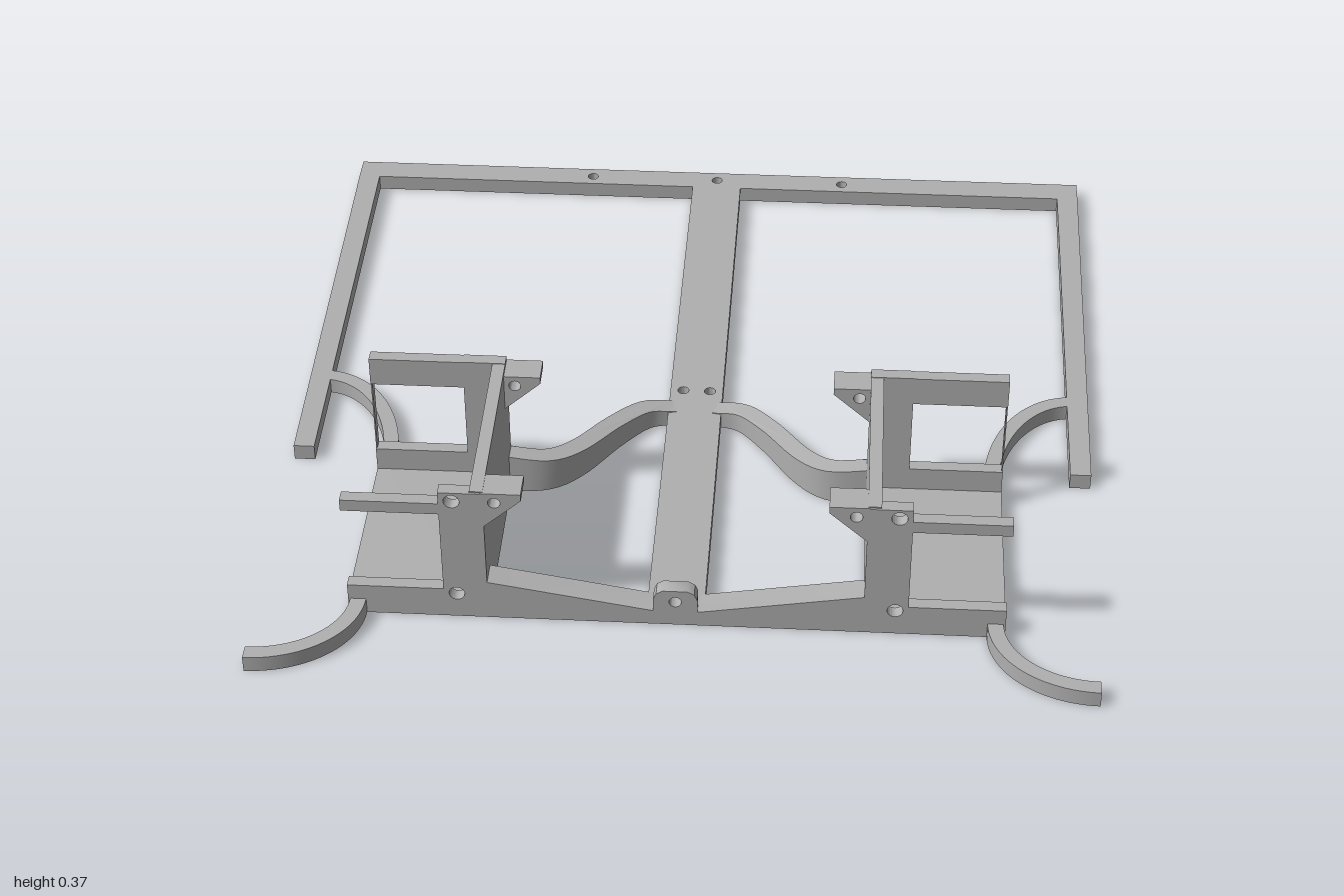
import * as THREE from 'three';
import { toCreasedNormals } from 'three/addons/utils/BufferGeometryUtils.js';

const V = (x, y) => new THREE.Vector2(x, y);

function makeShape(points, holes = []) {
  const shape = new THREE.Shape(points.map(p => V(p[0], p[1])));
  for (const [x, y, r] of holes) {
    const h = new THREE.Path();
    h.absarc(x, y, r, 0, Math.PI * 2, true);
    shape.holes.push(h);
  }
  return shape;
}

// Upright plate: outline in x/y, from z0 to z1
function upright(points, holes, z0, z1) {
  return new THREE.ExtrudeGeometry(makeShape(points, holes),
    { depth: z1 - z0, bevelEnabled: false, curveSegments: 10 }).translate(0, 0, z0);
}

// Flat plate: outline in x/z, from y = 0 up to h
function flat(points, holes, h) {
  return new THREE.ExtrudeGeometry(makeShape(points, holes),
    { depth: h, bevelEnabled: false, curveSegments: 10 }).rotateX(Math.PI / 2).translate(0, h, 0);
}

// Band of constant width following a curve on the ground
function band(curve, width, h) {
  const n = 24, a = [], b = [];
  for (let i = 0; i <= n; i++) {
    const p = curve.getPoint(i / n), t = curve.getTangent(i / n);
    a.push([p.x - t.y * width / 2, p.y + t.x * width / 2]);
    b.unshift([p.x + t.y * width / 2, p.y - t.x * width / 2]);
  }
  return flat([...a, ...b], [], h);
}

const box = (x0, x1, y0, y1, z0, z1) => new THREE.BoxGeometry(x1 - x0, y1 - y0, z1 - z0)
  .translate((x0 + x1) / 2, (y0 + y1) / 2, (z0 + z1) / 2);

// Mirror across x = 0, keeping the faces outward
function mirrored(geo) {
  const g = geo.index ? geo.toNonIndexed() : geo.clone();
  g.scale(-1, 1, 1);
  const p = g.attributes.position;
  const a = new THREE.Vector3(), b = new THREE.Vector3();
  for (let i = 0; i < p.count; i += 3) {
    a.fromBufferAttribute(p, i + 1);
    b.fromBufferAttribute(p, i + 2);
    p.setXYZ(i + 1, b.x, b.y, b.z);
    p.setXYZ(i + 2, a.x, a.y, a.z);
  }
  return g;
}

export function createModel() {
  const group = new THREE.Group();
  const grey = new THREE.MeshStandardMaterial({ color: 0xb0b0b0 });
  grey.name = 'plain grey';

  const add = (name, geo) => {
    const g = geo.index ? geo.toNonIndexed() : geo;
    g.computeVertexNormals();
    const mesh = new THREE.Mesh(toCreasedNormals(g, 0.6), grey);
    mesh.name = name;
    group.add(mesh);
  };
  const pair = (name, geo) => {
    add(name + 'Left', geo);
    add(name + 'Right', mirrored(geo));
  };

  // Flat frame: back bar, spine and side bars
  const T = 0.04, R = 0.014;
  add('backBar', flat([[-0.98, -1], [0.98, -1], [0.98, -0.93], [-0.98, -0.93]],
    [[-0.34, -0.965, R], [0, -0.965, R], [0.34, -0.965, R]], T));
  add('spine', flat([[-0.065, -0.93], [0.065, -0.93], [0.065, 0.79], [-0.065, 0.79]],
    [[-0.033, -0.025, R], [0.033, -0.025, R]], T));
  pair('sideBar', flat([[0.925, -0.93], [0.98, -0.93], [0.962, 0.25], [0.912, 0.25]], [], T));

  // Curved arms from the trays to the side bars and to the front corners
  pair('outerArm', band(new THREE.EllipseCurve(0.93, 0.3, 0.208, 0.335, Math.PI, Math.PI * 1.5), 0.036, T));
  pair('frontArm', band(new THREE.EllipseCurve(0.95, 0.79, 0.228, 0.192, Math.PI, Math.PI / 2, true), 0.036, T));

  // S-shaped inner arms, rising from the spine to the trays
  const sCurve = new THREE.SplineCurve([V(0.05, 0.042), V(0.12, 0.062), V(0.19, 0.14),
    V(0.27, 0.255), V(0.34, 0.31), V(0.44, 0.32)]);
  const inner = band(sCurve, 0.044, T);
  const ip = inner.attributes.position;
  for (let i = 0; i < ip.count; i++) {
    if (ip.getY(i) < 0.02) continue;
    const t = THREE.MathUtils.clamp((ip.getX(i) - 0.06) / 0.37, 0, 1);
    ip.setY(i, 0.042 + 0.063 * t);
  }
  pair('innerArm', inner);

  // Tapered front crossbar with a drilled centre lug
  pair('crossbar', upright([[0, 0], [0.43, 0], [0.43, 0.105], [0.055, 0.04], [0, 0.04]], [], 0.73, 0.79));
  add('centreLug', upright([[-0.05, 0.03], [0.05, 0.03], [0.05, 0.075], [0.043, 0.091], [0.028, 0.1],
    [-0.028, 0.1], [-0.043, 0.091], [-0.05, 0.075]], [[0, 0.068, R]], 0.755, 0.791));

  // Tray floor and sloping inner wall
  pair('trayFloor', box(0.425, 0.745, 0, 0.045, 0.3, 0.79));
  const wall = box(0.425, 0.455, 0, 0.37, 0.305, 0.785);
  const wp = wall.attributes.position;
  for (let i = 0; i < wp.count; i++) {
    if (wp.getY(i) > 0.2) wp.setY(i, wp.getZ(i) > 0.5 ? 0.365 : 0.373);
  }
  pair('trayWall', wall);

  // C-shaped end plates: lower strip, post and upper strip
  const cPlate = (low, inTop, outTop) => [[0.425, 0], [0.745, 0], [0.745, low], [0.525, low],
    [0.525, 0.3], [0.745, 0.3], [0.745, outTop], [0.525, outTop], [0.525, inTop], [0.425, inTop]];
  const screws = [[0.495, 0.338, 0.018], [0.495, 0.068, 0.018]];
  pair('frontPlate', upright(cPlate(0.08, 0.362, 0.33), screws, 0.76, 0.79));
  const backOutline = cPlate(0.105, 0.374, 0.373);
  pair('backPlate', upright(backOutline, screws, 0.3, 0.318));
  pair('backPlateLining', upright(backOutline, [], 0.318, 0.33));
  pair('backStay', box(0.742, 0.745, 0.1, 0.305, 0.3, 0.325));

  // Drilled triangular tabs on the inner side of each end
  const tab = [[0.43, 0.265], [0.43, 0.364], [0.34, 0.364], [0.34, 0.347]];
  const tabHole = [[0.4, 0.338, R]];
  pair('frontTab', upright(tab, tabHole, 0.722, 0.79));
  pair('backTab', upright(tab, tabHole, 0.3, 0.366));

  return group;
}
